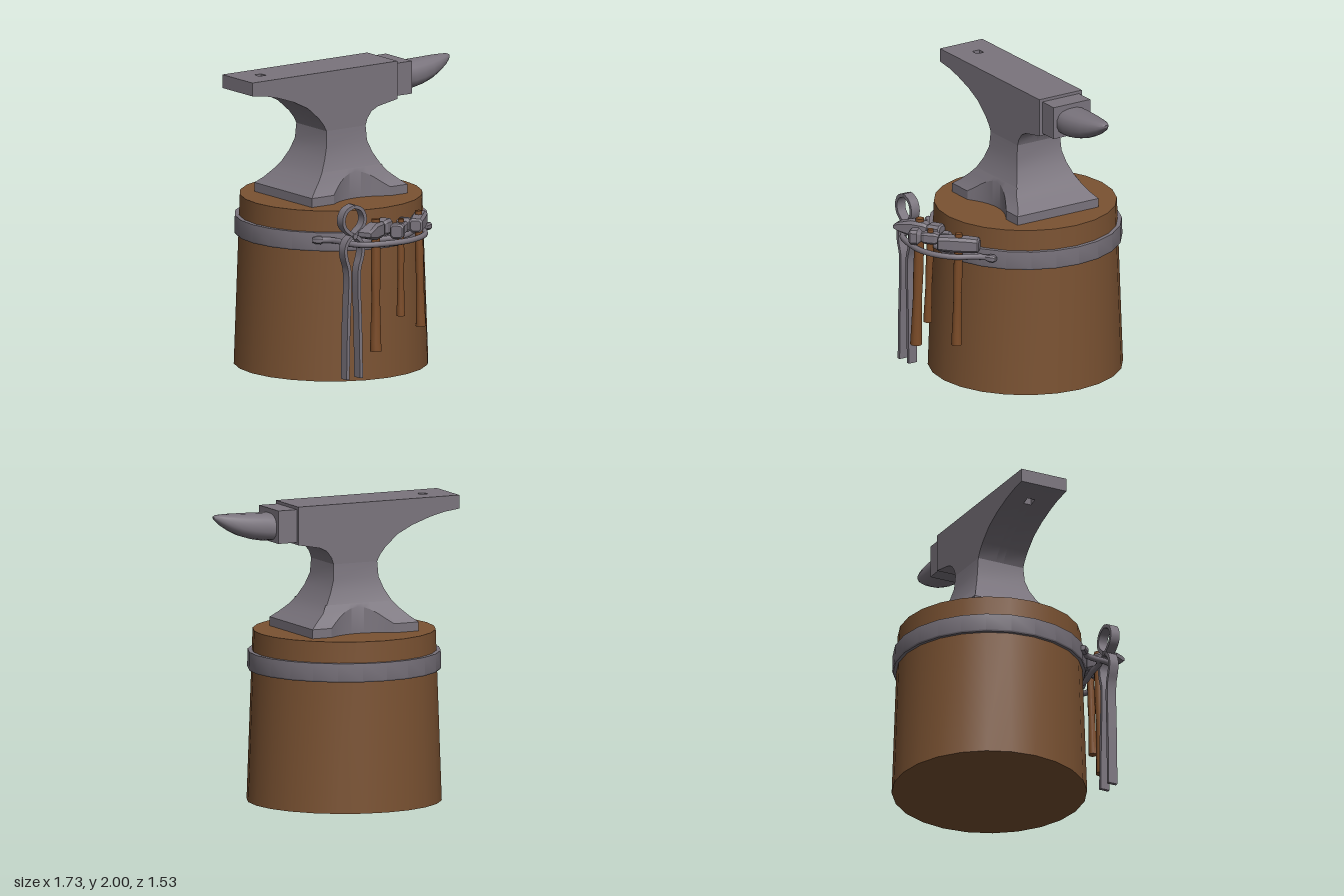
import * as THREE from 'three';
import { toCreasedNormals, mergeGeometries } from 'three/addons/utils/BufferGeometryUtils.js';

const steel = new THREE.MeshStandardMaterial({ color: 0x7a747d });
steel.name = 'steel';
const wood = new THREE.MeshStandardMaterial({ color: 0x7a5232 });
wood.name = 'stump wood';
const handleWood = new THREE.MeshStandardMaterial({ color: 0x7c4c28 });
handleWood.name = 'handle wood';

const V = (p) => new THREE.Vector3(...p);

function add(parent, name, geometry, material, crease = 0.6) {
  const mesh = new THREE.Mesh(toCreasedNormals(geometry, crease), material);
  mesh.name = name;
  parent.add(mesh);
  return mesh;
}

// Surface through rows of points; it faces (column direction) x (row direction)
function grid(rows) {
  const out = [];
  const tri = (...t) => {
    const [a, b, c] = t.map(V);
    if (b.sub(a).cross(c.sub(a)).length() > 1e-9) out.push(...t.flat());
  };
  for (let i = 0; i < rows.length - 1; i++) {
    for (let j = 0; j < rows[i].length - 1; j++) {
      const [a, b, c, d] = [rows[i][j], rows[i][j + 1], rows[i + 1][j + 1], rows[i + 1][j]];
      tri(a, b, c);
      tri(a, c, d);
    }
  }
  const g = new THREE.BufferGeometry();
  g.setAttribute('position', new THREE.Float32BufferAttribute(out, 3));
  return g;
}

// Closed body along x from stations [x, centreY, halfHeight, halfWidth]
function loft(stations, sides, power) {
  const bend = (v) => Math.sign(v) * Math.abs(v) ** power;
  const ring = ([x, y, h, w]) => Array.from({ length: sides + 1 }, (_, k) => {
    const a = ((k % sides + 0.5) / sides) * Math.PI * 2;
    return [x, y + h * bend(Math.cos(a)), w * bend(Math.sin(a))];
  });
  const cap = ([x, y]) => ring([x, y, 0, 0]);
  return grid([cap(stations[0]), ...stations.map(ring), cap(stations.at(-1))]);
}

// Linear lookup in a table of rows, from column a to column b
function lookup(table, a, b, v) {
  for (let i = 0; i < table.length - 1; i++) {
    const [p, q] = [table[i], table[i + 1]];
    if ((v - p[a]) * (v - q[a]) <= 0 && p[a] !== q[a]) {
      return p[b] + ((q[b] - p[b]) * (v - p[a])) / (q[a] - p[a]);
    }
  }
  return table.at(-1)[b];
}

// Underside of the anvil's upper body [x, y]
const under = [[-0.865, 1.91], [-0.75, 1.895], [-0.65, 1.87], [-0.52, 1.825], [-0.41, 1.77], [-0.32, 1.69],
  [-0.28, 1.64], [-0.26, 1.6], [0.06, 1.6], [0.075, 1.645], [0.11, 1.69], [0.16, 1.715], [0.24, 1.73], [0.32, 1.745]];

function slab(x0, x1, z0, z1) {
  const inner = under.filter(([x]) => x > x0 && x < x1);
  const pts = [[x0, 2], [x0, lookup(under, 0, 1, x0)], ...inner, [x1, lookup(under, 0, 1, x1)], [x1, 2]];
  const shape = new THREE.Shape(pts.map(([x, y]) => new THREE.Vector2(x, y)));
  return new THREE.ExtrudeGeometry(shape, { depth: z1 - z0, bevelEnabled: false }).translate(0, 0, z0);
}

// Waist and feet [y, left, right, halfDepth]
const waist = [[1.2, -0.49, 0.29, 0.32], [1.24, -0.44, 0.24, 0.285], [1.29, -0.385, 0.18, 0.255],
  [1.34, -0.34, 0.14, 0.228], [1.42, -0.295, 0.095, 0.197], [1.5, -0.265, 0.065, 0.177], [1.6, -0.26, 0.06, 0.168]];

function createAnvil() {
  const anvil = new THREE.Group();
  anvil.name = 'anvil';
  anvil.position.z = -0.12;

  // Upper body in slabs that leave a square tool hole through the heel
  const w = 0.168, [hx0, hx1, hz0, hz1] = [-0.7, -0.645, -0.035, 0.02];
  [[-0.865, 0.32, hz1, w], [-0.865, 0.32, -w, hz0], [-0.865, hx0, hz0, hz1], [hx1, 0.32, hz0, hz1]]
    .forEach((s) => add(anvil, 'anvilBody', slab(...s), steel, 0.45));

  // Front and back of the waist and feet, with a scooped arch between the feet
  const arcX = Array.from({ length: 11 }, (_, i) => -0.31 + i * 0.046);
  const arcZ = (x) => 0.24 + 0.08 * ((x + 0.08) / 0.23) ** 2;
  const arcY = (x) => lookup(waist, 3, 0, Math.min(0.32, arcZ(x)));
  const flare = waist.slice(0, 4).map(([y, l, r, d]) => [
    [l, y, d],
    ...arcX.map((x) => {
      const top = Math.max(y, arcY(x));
      return [x, top, lookup(waist, 0, 3, top)];
    }),
    [r, y, d]]);
  const neck = waist.slice(3).map(([y, l, r, d]) => [[l, y, d], [r, y, d]]);
  const wall = [arcX.map((x) => [x, 1.14, arcZ(x)]), arcX.map((x) => [x, arcY(x), arcZ(x)])];
  const foot = (a, b) => [1.14, 1.2].map((y) => [[a, y, 0.32], [b, y, 0.32]]);
  const panels = [flare, neck, wall, foot(-0.49, -0.31), foot(0.15, 0.29)];
  const mirrorZ = (rows) => rows.map((row) => row.map(([x, y, z]) => [x, y, -z]).reverse());
  // Left and right ends
  const ends = [[1.14, -0.49, 0.29, 0.32], ...waist];
  const rightEnd = ends.map(([y, l, r, d]) => [[r, y, d], [r, y, -d]]);
  const leftEnd = ends.map(([y, l, r, d]) => [[l, y, -d], [l, y, d]]);
  add(anvil, 'waistAndFeet',
    mergeGeometries([...panels, ...panels.map(mirrorZ), rightEnd, leftEnd].map(grid)), steel, 0.5);

  // Step and horn
  const step = new THREE.BoxGeometry(0.145, 0.22, 0.29).translate(0.3825, 1.87, 0);
  add(anvil, 'step', step, steel);
  const horn = [[0.45, 1.77, 1.95, 0.12], [0.52, 1.77, 1.953, 0.117], [0.6, 1.785, 1.956, 0.108], [0.68, 1.81, 1.958, 0.093],
    [0.75, 1.845, 1.96, 0.074], [0.81, 1.885, 1.96, 0.051], [0.845, 1.915, 1.958, 0.03], [0.863, 1.934, 1.95, 0.01]]
    .map(([x, lo, hi, d]) => [x, (lo + hi) / 2, (hi - lo) / 2, d]);
  add(anvil, 'horn', loft(horn, 16, 0.8), steel, 0.7);
  return anvil;
}

function createStump() {
  const stump = new THREE.Group();
  stump.name = 'stump';
  stump.position.set(-0.1, 0, -0.12);
  add(stump, 'block', new THREE.CylinderGeometry(0.605, 0.645, 1.14, 24).translate(0, 0.57, 0), wood);
  const profile = [[0.6, 0.875], [0.635, 0.875], [0.641, 0.885], [0.638, 1], [0.6, 1], [0.6, 0.875]];
  add(stump, 'ironBand', new THREE.LatheGeometry(profile.map((p) => new THREE.Vector2(...p)), 24), steel);
  return stump;
}

// Two bent rails that hold the tools
function createRack() {
  const rack = new THREE.Group();
  rack.name = 'toolRack';
  const paths = [
    [[-0.56, 0.34], [-0.48, 0.4], [-0.46, 0.47], [-0.45, 0.57], [-0.39, 0.66], [-0.25, 0.705], [-0.09, 0.715],
      [0.05, 0.67], [0.15, 0.59], [0.2, 0.5], [0.25, 0.44], [0.31, 0.405]],
    [[-0.455, 0.5], [-0.4, 0.54], [-0.27, 0.555], [-0.1, 0.585], [0.03, 0.55], [0.11, 0.495], [0.24, 0.445]]];
  paths.forEach((path) => {
    const curve = new THREE.CatmullRomCurve3(path.map(([x, z]) => new THREE.Vector3(x, 0.953, z)));
    add(rack, 'rail', new THREE.TubeGeometry(curve, 40, 0.02, 8), steel, 0.9);
  });
  // Flattened rail ends fixed to the band
  [[-0.545, 0.352, -0.75], [0.3, 0.412, 0.55]].forEach(([x, z, turn]) => {
    const end = add(rack, 'railEnd', loft([[-0.04, 0, 0.018, 0.018], [-0.015, 0, 0.026, 0.025],
      [0.015, 0, 0.026, 0.025], [0.03, 0, 0.016, 0.018]], 8, 0.7), steel);
    end.position.set(x, 0.953, z);
    end.rotation.y = turn;
  });
  return rack;
}

// Flat-bar tongs: two mirrored crossing arms
function createTongs() {
  const tongs = new THREE.Group();
  tongs.name = 'tongs';
  tongs.position.set(-0.445, 0, 0.552);
  const arm = [[-0.055, 0.05], [-0.048, 0.4], [-0.04, 0.78], [-0.065, 0.87], [-0.07, 0.93], [-0.045, 0.985],
    [0.02, 1.025], [0.075, 1.075], [0.086, 1.13], [0.06, 1.185], [0, 1.212]];
  const curve = new THREE.CatmullRomCurve3(arm.map(([x, y]) => new THREE.Vector3(x, y, 0)));
  for (const side of [1, -1]) {
    const edge = (s) => Array.from({ length: 49 }, (_, i) => {
      const p = curve.getPoint(i / 48), t = curve.getTangent(i / 48);
      return new THREE.Vector2(side * (p.x + s * t.y * 0.012), p.y - s * t.x * 0.012);
    });
    const shape = new THREE.Shape([...edge(1), ...edge(-1).reverse()]);
    add(tongs, 'tongArm', new THREE.ExtrudeGeometry(shape, { depth: 0.065, bevelEnabled: false }), steel);
  }
  add(tongs, 'rivet', new THREE.CylinderGeometry(0.018, 0.018, 0.08, 10).rotateX(Math.PI / 2).translate(0, 1.01, 0.033), steel);
  return tongs;
}

// Hammer hanging head up; the head runs along the direction dir in plan
function createHammer({ name, top, bottom, radius, dir, head }) {
  const hammer = new THREE.Group();
  hammer.name = name;
  const [a, b] = [V(bottom), V(top)], len = a.distanceTo(b);
  const profile = [[0, 0], [radius, 0], [radius * 0.95, 0.06], [radius * 0.75, len * 0.4], [radius * 0.85, len * 0.6],
    [radius * 0.75, len * 0.9], [radius * 0.7, len], [0, len]];
  const handle = add(hammer, 'handle', new THREE.LatheGeometry(profile.map((p) => new THREE.Vector2(...p)), 10), handleWood, 0.8);
  handle.position.copy(a);
  handle.quaternion.setFromUnitVectors(new THREE.Vector3(0, 1, 0), b.clone().sub(a).normalize());
  const iron = add(hammer, 'head', loft(head.map(([x, h, w]) => [x, 0, h, w]), 8, 0.5), steel, 0.4);
  iron.position.set(top[0], 1.03, top[2]);
  iron.rotation.y = Math.atan2(-dir[1], dir[0]);
  return hammer;
}

const hammers = [
  { name: 'crossPeenHammer', top: [-0.265, 1.105, 0.605], bottom: [-0.28, 0.22, 0.625], radius: 0.04, dir: [0.29, -0.16],
    head: [[-0.175, 0.015, 0.05], [-0.15, 0.03, 0.052], [-0.055, 0.058, 0.045], [0.04, 0.056, 0.045],
      [0.065, 0.045, 0.038], [0.085, 0.055, 0.05], [0.155, 0.055, 0.05], [0.165, 0.045, 0.042]] },
  { name: 'ballPeenHammer', top: [-0.085, 1.09, 0.64], bottom: [-0.098, 0.44, 0.655], radius: 0.029, dir: [-0.2, 0.18],
    head: [[-0.145, 0.03, 0.03], [-0.125, 0.048, 0.046], [-0.085, 0.05, 0.048], [-0.06, 0.028, 0.028], [-0.035, 0.04, 0.04],
      [0.035, 0.04, 0.04], [0.06, 0.03, 0.028], [0.085, 0.052, 0.048], [0.13, 0.052, 0.048], [0.142, 0.04, 0.038]] },
  { name: 'sledgeHammer', top: [0.12, 1.105, 0.555], bottom: [0.125, 0.33, 0.575], radius: 0.035, dir: [0.19, -0.2],
    head: [[-0.14, 0.035, 0.035], [-0.13, 0.048, 0.046], [-0.05, 0.053, 0.05], [0.05, 0.053, 0.05],
      [0.13, 0.048, 0.046], [0.14, 0.035, 0.035]] },
];

export function createModel() {
  const model = new THREE.Group();
  model.name = 'anvilOnStump';
  model.add(createStump(), createAnvil(), createRack(), createTongs(), ...hammers.map(createHammer));
  return model;
}
